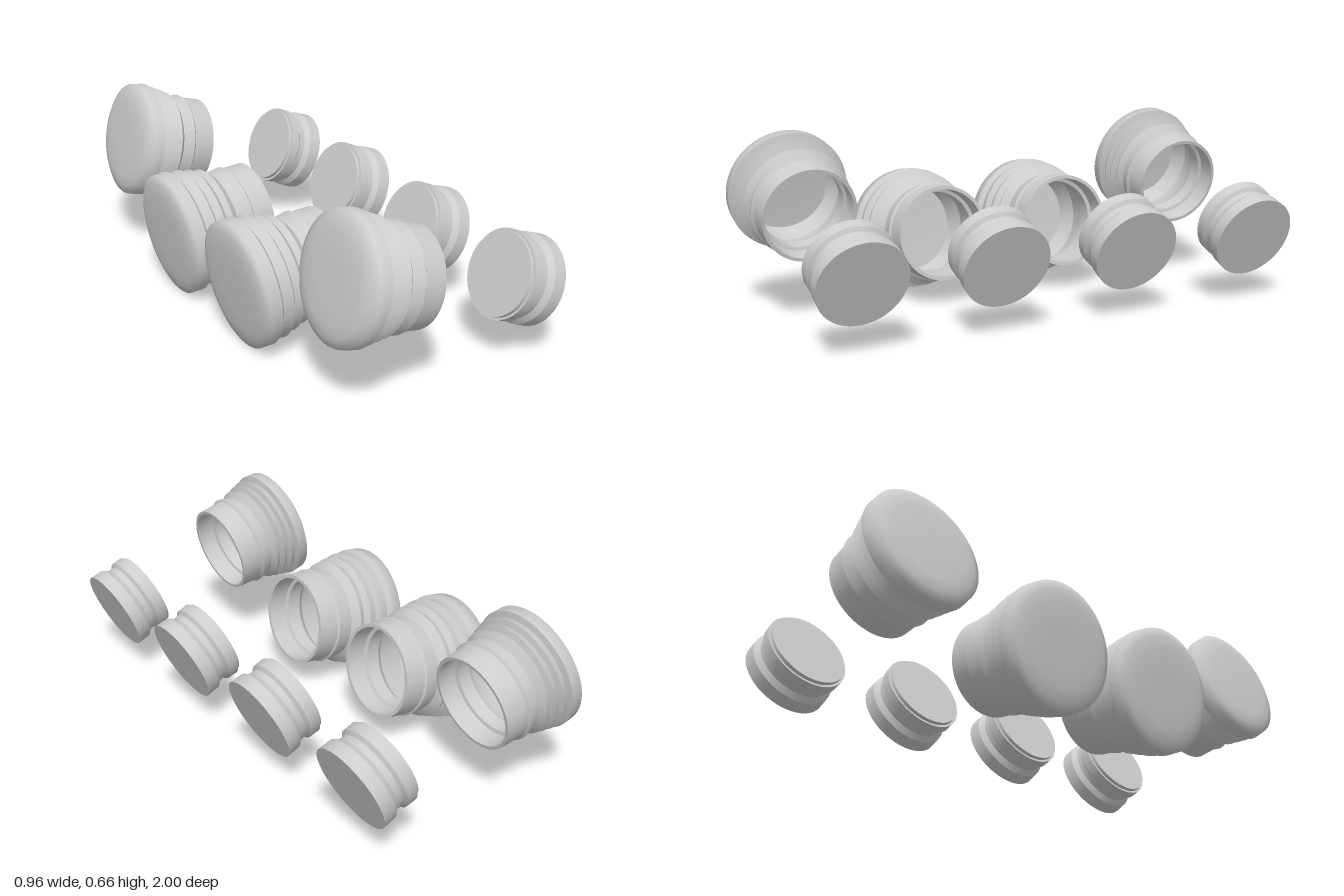
import * as THREE from 'three';
import { toCreasedNormals } from 'three/addons/utils/BufferGeometryUtils.js';

const grey = new THREE.MeshStandardMaterial({ color: 0xcccccc });
grey.name = 'light grey';

// profiles are [radius, height along the axis]
function lathe(points, creased = true) {
  const g = new THREE.LatheGeometry(points.map(([r, t]) => new THREE.Vector2(r, t)), 64);
  return creased ? toCreasedNormals(g, 0.5) : g;
}

function part(name, geometry) {
  const m = new THREE.Mesh(geometry, grey);
  m.name = name;
  return m;
}

// hollow cup: smooth domed cap, ribbed wall, stepped bore; heights start at the cap
function cup(name, cap, wall, bore) {
  const g = new THREE.Group();
  g.name = name;
  g.add(part('cap', lathe(cap, false)), part('ribbedWall', lathe(wall)), part('bore', lathe(bore)));
  return g;
}

function outerCup() {
  return cup('outerCup',
    [[0, 0], [0.07, 0], [0.148, 0.002], [0.19, 0.011], [0.221, 0.028], [0.2235, 0.071]],
    [[0.2235, 0.071], [0.202, 0.079], [0.214, 0.103], [0.194, 0.112], [0.206, 0.133], [0.186, 0.143],
      [0.197, 0.164], [0.176, 0.182], [0.187, 0.226], [0.178, 0.234], [0.174, 0.317], [0.162, 0.317]],
    [[0.162, 0.317], [0.162, 0.245], [0.15, 0.24], [0.15, 0.19], [0.17, 0.165], [0.185, 0.09], [0.16, 0.03], [0, 0.02]]);
}

function innerCup() {
  return cup('innerCup',
    [[0, 0], [0.08, 0], [0.156, 0.001], [0.2, 0.01], [0.231, 0.022], [0.233, 0.067]],
    [[0.233, 0.067], [0.217, 0.079], [0.225, 0.118], [0.206, 0.13], [0.214, 0.16], [0.194, 0.177],
      [0.203, 0.2], [0.176, 0.226], [0.185, 0.288], [0.178, 0.294], [0.176, 0.375], [0.163, 0.375]],
    [[0.163, 0.375], [0.163, 0.3], [0.15, 0.295], [0.15, 0.24], [0.175, 0.21], [0.195, 0.1], [0.17, 0.03], [0, 0.02]]);
}

// solid grooved plug; heights end at the flat outer face
function plug() {
  const g = new THREE.Group();
  g.name = 'plug';
  g.add(part('plugBody', lathe([[0, -0.156], [0.148, -0.156], [0.149, -0.143], [0.158, -0.143], [0.157, -0.105],
    [0.144, -0.094], [0.144, -0.07], [0.16, -0.05], [0.1615, 0], [0, 0]])));
  return g;
}

// lay a turned part along an axis at the given angle from +x
function place(object, x, y, z, degrees) {
  object.position.set(x, y, z);
  object.rotation.z = THREE.MathUtils.degToRad(degrees - 90);
  return object;
}

export function createModel() {
  const model = new THREE.Group();
  model.name = 'cupsAndPlugs';
  for (const side of [1, -1]) {
    model.add(
      place(outerCup(), -0.394, 0.452, side * 0.776, -12.1),
      place(innerCup(), -0.467, 0.23, side * 0.258, 6.4),
      place(plug(), 0.42, 0.25, side * 0.776, -21.8),
      place(plug(), 0.42, 0.25, side * 0.258, -21.8));
  }
  return model;
}
